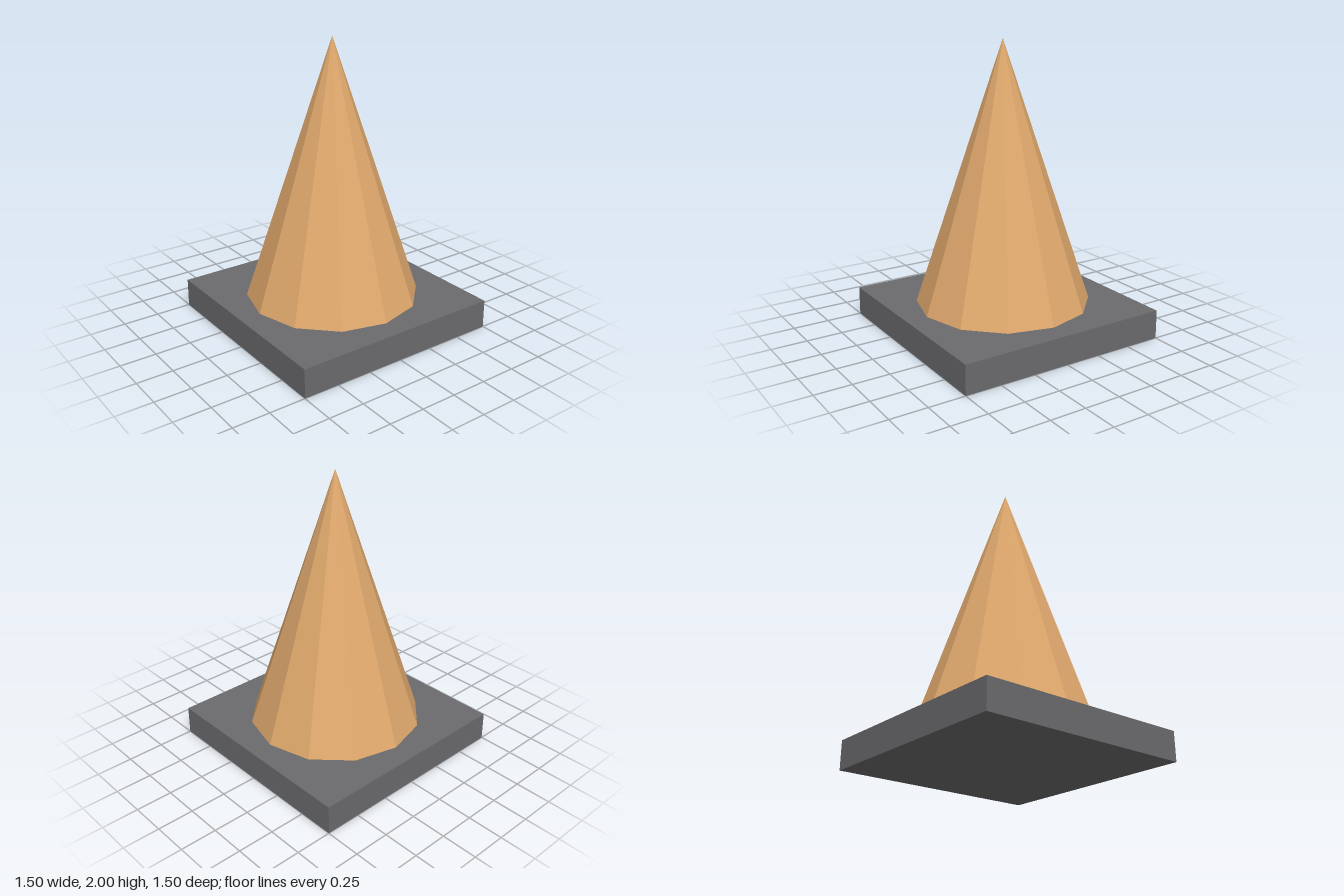
import * as THREE from 'three';

export function createModel() {
  const model = new THREE.Group();
  model.name = 'cone on plinth';

  const tan = new THREE.MeshStandardMaterial({ color: 0xe0a96d, flatShading: true });
  tan.name = 'warm tan';
  const grey = new THREE.MeshStandardMaterial({ color: 0x6b6b6e });
  grey.name = 'dark grey';

  // Square slab standing on the ground
  const baseHeight = 0.2;
  const base = new THREE.Mesh(new THREE.BoxGeometry(1.5, baseHeight, 1.5), grey);
  base.name = 'base';
  base.position.y = baseHeight / 2;

  // Twelve-sided cone with a corner facing the front
  const coneHeight = 1.8;
  const cone = new THREE.Mesh(new THREE.ConeGeometry(0.6, coneHeight, 12), tan);
  cone.name = 'cone';
  cone.position.y = baseHeight + coneHeight / 2;

  model.add(base, cone);
  return model;
}
